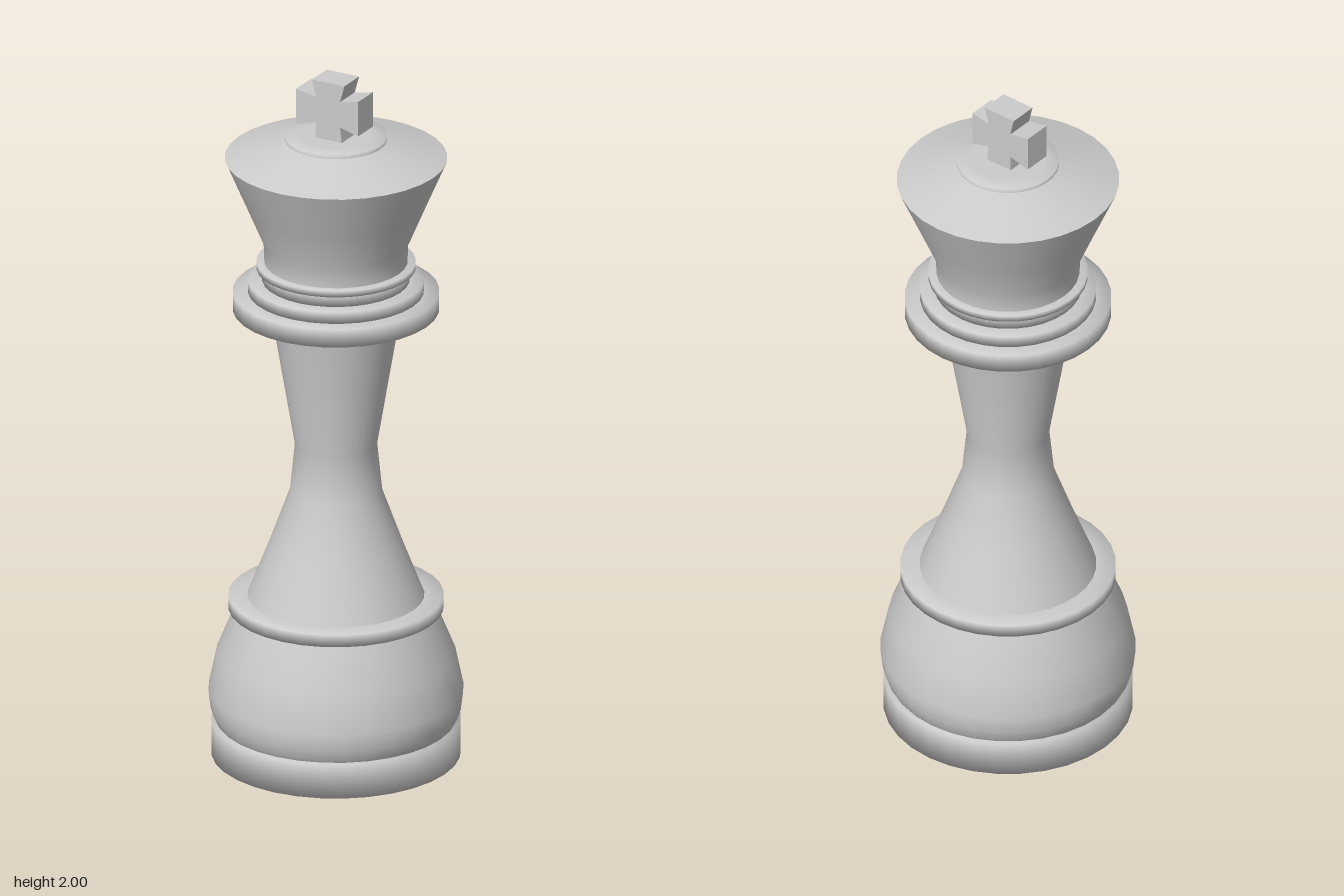
import * as THREE from 'three';

const SIDES = 32;
const material = new THREE.MeshStandardMaterial({ color: 0xcccccc, side: THREE.DoubleSide });

// Turned part: profile is a list of [radius, height], from bottom to top
function turned(name, profile) {
  const points = profile.map(([r, y]) => new THREE.Vector2(r, y));
  const mesh = new THREE.Mesh(new THREE.LatheGeometry(points, SIDES, Math.PI / 2), material);
  mesh.name = name;
  return mesh;
}

// Closed ring or disc with straight sides
function disc(name, radius, bottom, top) {
  return turned(name, [[0, bottom], [radius * 0.72, bottom], [radius, bottom], [radius, top], [radius * 0.8, top], [0, top]]);
}

// Cross with slightly flared arms, cut from a flat slab
function cross() {
  const outline = [
    [-0.04, 1.82], [0.045, 1.82], [0.038, 1.875], [0.095, 1.86], [0.095, 1.962], [0.038, 1.95],
    [0.052, 2], [-0.05, 2], [-0.038, 1.95], [-0.1, 1.962], [-0.1, 1.86], [-0.038, 1.875],
  ];
  const shape = new THREE.Shape(outline.map(([x, y]) => new THREE.Vector2(x, y)));
  const geometry = new THREE.ExtrudeGeometry(shape, { depth: 0.082, bevelEnabled: false });
  geometry.translate(0, 0, -0.037);
  const mesh = new THREE.Mesh(geometry, material);
  mesh.name = 'cross';
  return mesh;
}

export function createModel() {
  const group = new THREE.Group();
  group.name = 'chessKing';

  group.add(
    // Foot and rounded base
    disc('foot', 0.343, 0, 0.1),
    turned('baseBulb', [[0.325, 0.095], [0.335, 0.11], [0.345, 0.14], [0.351, 0.19], [0.328, 0.3], [0.275, 0.43]]),
    disc('baseCollar', 0.296, 0.43, 0.466),

    // Waisted stem
    turned('stem', [[0.243, 0.466], [0.185, 0.615], [0.127, 0.775], [0.113, 0.915], [0.18, 1.315]]),

    // Stacked rings under the head
    disc('wideCollar', 0.284, 1.315, 1.368),
    disc('middleCollar', 0.242, 1.368, 1.402),
    disc('neck', 0.203, 1.402, 1.437),
    disc('thinCollar', 0.219, 1.437, 1.455),

    // Flared head with a low conical roof
    turned('head', [[0.197, 1.455], [0.199, 1.51], [0.245, 1.62], [0.306, 1.763]]),
    turned('headRoof', [[0.306, 1.763], [0.14, 1.815]]),
    turned('headCap', [[0.14, 1.81], [0.14, 1.828], [0.1, 1.83], [0, 1.83]]),

    cross(),
  );
  return group;
}
